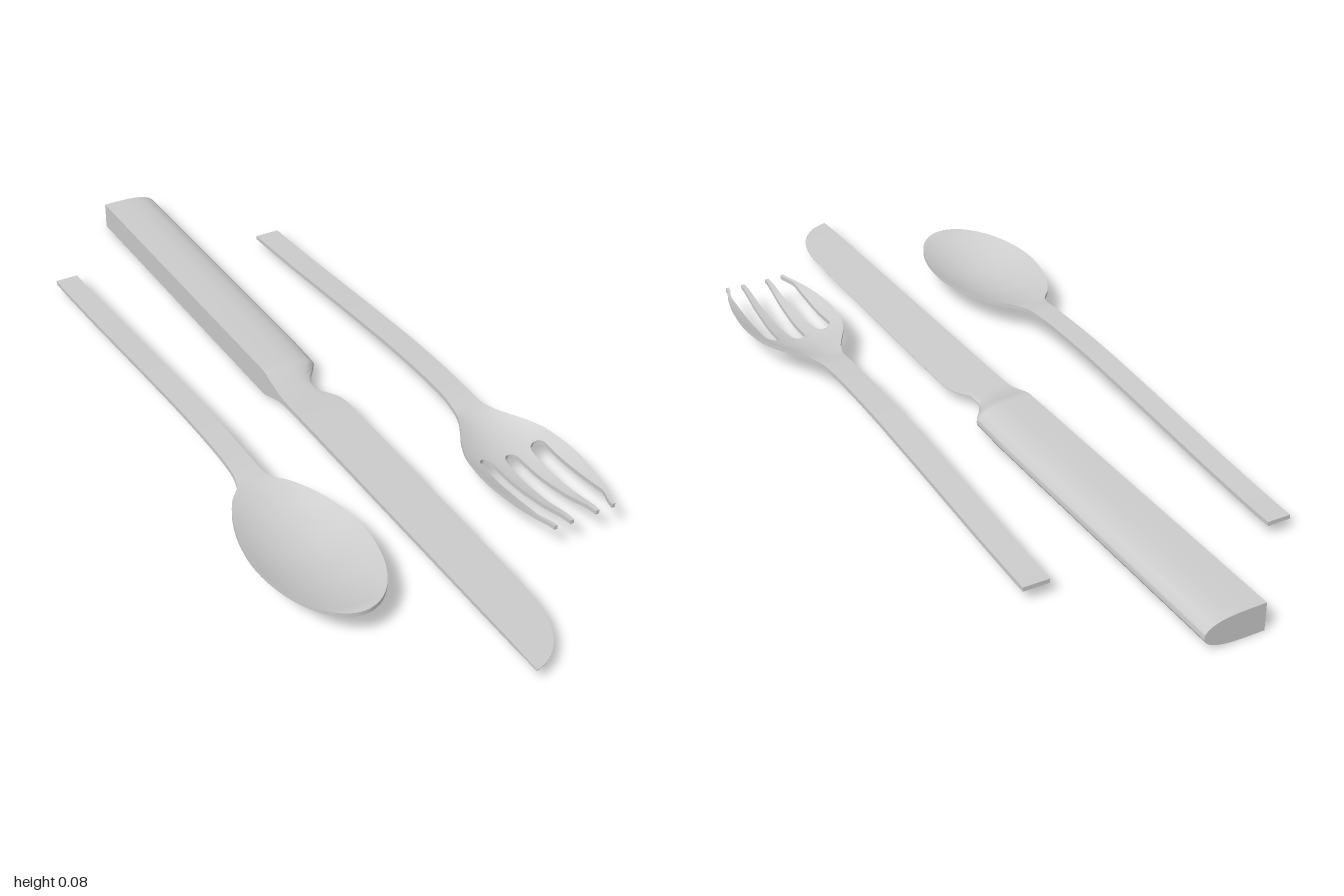
import * as THREE from 'three';
import { toCreasedNormals } from 'three/addons/utils/BufferGeometryUtils.js';

// Smooth interpolation through [position, value] pairs
function curve(pts) {
  const slope = (i, j) => (pts[j][1] - pts[i][1]) / (pts[j][0] - pts[i][0]);
  const tangent = (i) => {
    if (i === 0 || i === pts.length - 1) return 0;
    const a = slope(i - 1, i), b = slope(i, i + 1);
    return a * b <= 0 ? 0 : (2 * a * b) / (a + b); // no overshoot
  };
  return (x) => {
    if (x <= pts[0][0]) return pts[0][1];
    for (let i = 0; i < pts.length - 1; i++) {
      const [x0, y0] = pts[i], [x1, y1] = pts[i + 1];
      if (x > x1) continue;
      const d = x1 - x0, t = (x - x0) / d, t2 = t * t, t3 = t2 * t;
      return y0 * (2 * t3 - 3 * t2 + 1) + y1 * (3 * t2 - 2 * t3)
        + d * (tangent(i) * (t3 - 2 * t2 + t) + tangent(i + 1) * (t3 - t2));
    }
    return pts[pts.length - 1][1];
  };
}

const range = (a, b, n) => Array.from({ length: n + 1 }, (_, i) => a + ((b - a) * i) / n);

// Closed solid along z; section(z, u) gives [x, topY, bottomY] across u = 0..1
function loft(name, zs, us, section, crease = 0.6) {
  const n = us.length, ringSize = 2 * n, pos = [], idx = [];
  for (const z of zs) {
    const row = us.map((u) => section(z, u));
    row.forEach(([x, top]) => pos.push(x, top, z));
    row.reverse().forEach(([x, , bottom]) => pos.push(x, bottom, z));
  }
  for (let k = 0; k < zs.length - 1; k++) {
    for (let i = 0; i < ringSize; i++) {
      const j = (i + 1) % ringSize;
      const a = k * ringSize + i, b = k * ringSize + j, c = a + ringSize, d = b + ringSize;
      idx.push(a, c, b, b, c, d);
    }
  }
  const last = (zs.length - 1) * ringSize;
  for (let i = 0; i < n - 1; i++) {
    const t0 = i, t1 = i + 1, b0 = ringSize - 1 - i, b1 = b0 - 1;
    idx.push(t0, t1, b0, t1, b1, b0);
    idx.push(last + t0, last + b0, last + t1, last + t1, last + b0, last + b1);
  }
  const g = new THREE.BufferGeometry();
  g.setAttribute('position', new THREE.Float32BufferAttribute(pos, 3));
  g.setIndex(idx);
  const mesh = new THREE.Mesh(toCreasedNormals(g, crease),
    new THREE.MeshStandardMaterial({ color: 0xcccccc }));
  mesh.name = name;
  return mesh;
}

// Shared side profile of spoon and fork: arched handle, then a dished head
const HALF = 0.005, RIM = 0.069;
const spine = [[-0.75, 0.031], [-0.55, 0.040], [-0.4, 0.051], [-0.2, 0.066], [0, 0.078],
  [0.1, 0.08], [0.2, 0.077], [0.3, 0.06], [0.4, 0.042], [0.5, 0.034]];
const spoonSpine = curve([...spine, [0.6, 0.043], [0.68, 0.058], [0.73, RIM]]);
const forkSpine = curve([...spine, [0.6, 0.045], [0.7, 0.067]]);
const dish = (line, z, u) => {
  const c = line(z);
  return z > 0.15 ? c + Math.max(0, RIM - c) * u * u : c;
};

function makeSpoon() {
  const neck = curve([[-0.75, 0.028], [0.15, 0.028], [0.22, 0.03], [0.26, 0.038], [0.3, 0.07],
    [0.36, 0.1], [0.43, 0.12], [0.5, 0.128]]);
  const halfWidth = (z) => z < 0.5 ? neck(z)
    : 0.128 * Math.sqrt(Math.max(0.0001, 1 - ((z - 0.5) / 0.232) ** 2));
  const zs = [...range(-0.75, 0.15, 24), ...range(0.17, 0.5, 28),
    ...range(0, Math.PI / 2, 20).slice(1).map((a) => 0.5 + 0.232 * Math.sin(a))];
  return loft('spoon', zs, range(-1, 1, 20), (z, u) => {
    const y = dish(spoonSpine, z, u);
    return [-0.27 + u * halfWidth(z), y + HALF, y - HALF];
  });
}

function makeFork() {
  const fork = new THREE.Group();
  fork.name = 'fork';
  const cx = 0.28, root = 0.42, tip = 0.7;
  const halfWidth = curve([[-0.7, 0.031], [0.18, 0.031], [0.25, 0.035], [0.29, 0.046],
    [0.32, 0.062], [0.37, 0.09], [0.42, 0.107], [0.5, 0.114], [0.58, 0.107], [0.65, 0.092], [0.7, 0.078]]);
  const section = (z, off) => {
    const y = dish(forkSpine, z, off / halfWidth(z));
    return [cx + off, y + HALF, y - HALF];
  };
  // Handle and palm
  fork.add(loft('forkHandle', [...range(-0.7, 0.15, 24), ...range(0.17, root, 22)],
    range(-1, 1, 20), (z, u) => section(z, u * halfWidth(z))));

  // Tine edges: slots open with a round root, then widen towards the tips
  const opening = (z) => Math.sqrt(Math.max(0, 1 - Math.max(0, 1 - (z - root) / 0.022) ** 2));
  const t = (z) => (z - root) / (tip - root);
  const middleSlot = (z) => opening(z) * (0.016 + 0.012 * t(z));
  const slotInner = (z) => 0.067 - opening(z) * (0.016 + 0.014 * t(z));
  const slotOuter = (z) => 0.067 + opening(z) * Math.min(0.017, halfWidth(z) - 0.067 - 0.008);
  const zs = [...range(0, 0.022, 8).map((d) => root + d), ...range(0.46, tip, 18)];
  const tines = [['innerTine', middleSlot, slotInner], ['outerTine', slotOuter, halfWidth]];
  for (const [name, near, far] of tines) {
    for (const side of [1, -1]) {
      fork.add(loft(name, zs, range(0, 1, 4), (z, u) => {
        const v = side > 0 ? u : 1 - u;
        return section(z, side * (near(z) + (far(z) - near(z)) * v));
      }));
    }
  }
  return fork;
}

function makeKnife() {
  const knife = new THREE.Group();
  knife.name = 'knife';
  const left = -0.05;
  const right = curve([[-1, 0.092], [-0.12, 0.092], [-0.1, 0.082], [-0.07, 0.06], [-0.04, 0.047],
    [-0.01, 0.047], [0.015, 0.062], [0.04, 0.075], [0.07, 0.079], [0.5, 0.074], [0.8, 0.068],
    [0.87, 0.06], [0.93, 0.038], [0.97, 0.008], [0.99, -0.018], [1, -0.042]]);
  const thick = curve([[-1, 0.033], [-0.11, 0.033], [-0.06, 0.02], [-0.02, 0.009], [0.03, 0.006],
    [0.9, 0.004], [1, 0.002]]);
  const bladeShare = curve([[-0.11, 0], [0.03, 1]]);
  const centre = curve([[-0.11, 0.033], [0.03, 0.035]]);
  // Half-round section in the handle blends to a wedge in the blade
  const section = (z, u) => {
    const round = Math.sqrt(Math.max(0.003, 1 - u ** 4)), wedge = 1 - 0.85 * u;
    const h = thick(z) * (round + (wedge - round) * bladeShare(z));
    return [left + u * (right(z) - left), centre(z) + h, centre(z) - h];
  };
  const us = range(0, Math.PI / 2, 14).map(Math.sin);
  knife.add(loft('knifeHandle', range(-1, -0.11, 8), us, section));
  knife.add(loft('knifeBlade', [...range(-0.11, 0.08, 26), ...range(0.12, 0.78, 10),
    ...range(0.8, 1, 24)], us, section));
  return knife;
}

export function createModel() {
  const model = new THREE.Group();
  model.name = 'cutlerySet';
  model.add(makeSpoon(), makeKnife(), makeFork());
  return model;
}
